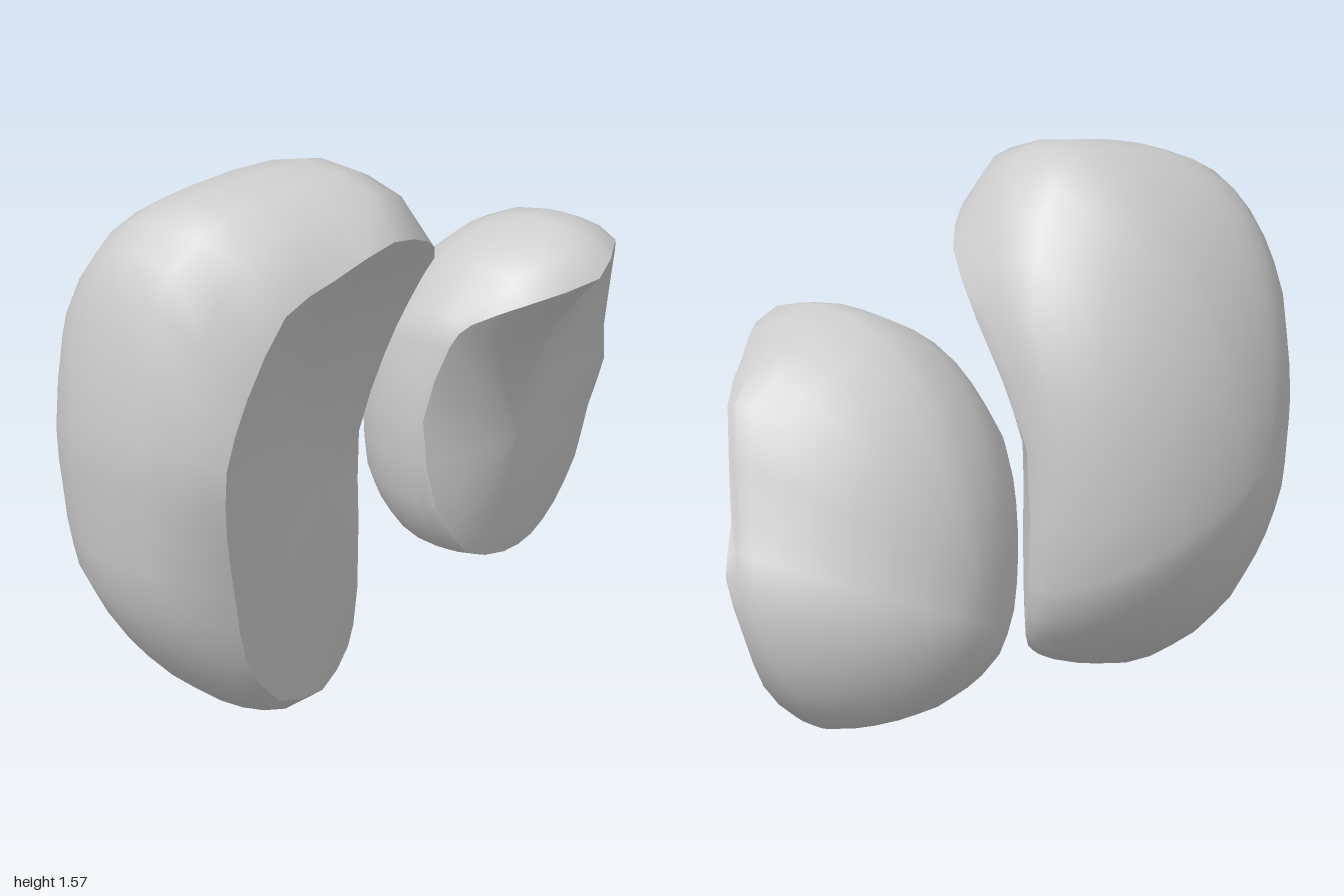
import * as THREE from 'three';
import { mergeVertices } from 'three/addons/utils/BufferGeometryUtils.js';

const material = new THREE.MeshStandardMaterial({ color: 0xcccccc });
const SIDES = 34;

// Skin a list of closed rings into one smooth surface
function loft(rings) {
  const index = [];
  for (let r = 0; r < rings.length - 1; r++) {
    for (let i = 0; i < SIDES; i++) {
      const n = (i + 1) % SIDES;
      const a = r * SIDES + i, b = r * SIDES + n;
      const c = a + SIDES, d = b + SIDES;
      index.push(a, c, b, b, c, d);
    }
  }
  const geo = new THREE.BufferGeometry().setFromPoints(rings.flat());
  geo.setIndex(index);
  const merged = mergeVertices(geo, 1e-4);
  merged.computeVertexNormals();
  return merged;
}

// Closed smooth loop through [x, y, z] stations
function loop(stations) {
  const pts = stations.map(p => new THREE.Vector3(...p));
  const curve = new THREE.CatmullRomCurve3(pts, true, 'catmullrom', 0.4);
  return Array.from({ length: SIDES }, (_, i) => curve.getPoint(i / SIDES));
}

// Interpolate in the xy plane and in z by separate amounts
function blend(from, to, xy, z) {
  return new THREE.Vector3(
    from.x + (to.x - from.x) * xy,
    from.y + (to.y - from.y) * xy,
    from.z + (to.z - from.z) * z
  );
}

// Lobe: domed back, widest outline, lip rolling to the rim, hollowed front
function lobe(name, { outline, rim, pole, centre, wedge }) {
  const wide = loop(outline), edge = loop(rim);
  const back = new THREE.Vector3(...pole), mid = new THREE.Vector3(...centre);

  // The dome flattens towards +x by the wedge power
  const shell = [];
  for (let k = 0; k <= 8; k++) {
    const t = (1 - k / 8) * Math.PI / 2;
    shell.push(wide.map(p => {
      const side = THREE.MathUtils.clamp((p.x - back.x) / 0.4, 0, 1);
      return blend(p, back, 1 - Math.cos(t), Math.sin(t) ** (1 + (wedge - 1) * side));
    }));
  }
  shell.push(wide.map((p, i) => blend(p, edge[i], 0.08, 0.38)));
  shell.push(wide.map((p, i) => blend(p, edge[i], 0.32, 0.74)));
  shell.push(edge);

  // The front curls up to the top rim and falls away at the sides
  const face = [1, 0.85, 0.68, 0.5, 0.3, 0.12, 0].map(s =>
    edge.map(p => blend(mid, p, s, s * s)));

  const group = new THREE.Group();
  group.name = name;
  for (const [part, rings] of [['domedBack', shell], ['hollowFront', face]]) {
    const mesh = new THREE.Mesh(loft(rings), material);
    mesh.name = part;
    group.add(mesh);
  }
  return group;
}

export function createModel() {
  const model = new THREE.Group();
  model.name = 'pairedLobes';

  model.add(lobe('largeLobe', {
    outline: [
      [-0.43, 1.57, 0.12], [-0.3, 1.53, 0.12], [-0.18, 1.4, 0.11], [-0.05, 1.12, 0.03],
      [-0.03, 0.75, -0.1], [-0.03, 0.35, -0.1], [-0.09, 0.17, -0.03], [-0.2, 0.07, 0],
      [-0.43, 0, -0.02], [-0.62, 0.05, -0.03], [-0.8, 0.22, -0.05], [-0.94, 0.45, -0.06],
      [-0.98, 0.7, -0.06], [-1, 0.95, -0.06], [-0.94, 1.3, -0.07], [-0.82, 1.47, -0.03],
      [-0.66, 1.54, 0.05]
    ],
    rim: [
      [-0.46, 1.42, 0.44], [-0.28, 1.37, 0.41], [-0.13, 1.27, 0.32], [-0.05, 1.1, 0.17],
      [-0.04, 0.75, -0.02], [-0.035, 0.35, -0.03], [-0.1, 0.17, 0.03], [-0.2, 0.08, 0.08],
      [-0.4, 0.05, 0.15], [-0.62, 0.12, 0.18], [-0.77, 0.3, 0.2], [-0.82, 0.5, 0.21],
      [-0.87, 0.7, 0.23], [-0.9, 0.9, 0.26], [-0.84, 1.08, 0.28], [-0.75, 1.28, 0.33],
      [-0.62, 1.35, 0.38]
    ],
    pole: [-0.59, 0.65, -0.47], centre: [-0.45, 0.7, 0.2], wedge: 1.3
  }));

  model.add(lobe('smallLobe', {
    outline: [
      [0.52, 1.23, 0.24], [0.7, 1.15, 0.2], [0.86, 1.03, 0.22], [0.94, 0.75, 0.14],
      [0.99, 0.6, 0.09], [0.98, 0.45, 0.04], [0.92, 0.3, 0.01], [0.8, 0.17, 0],
      [0.62, 0.135, 0.01], [0.45, 0.15, 0.02], [0.27, 0.21, 0.04], [0.15, 0.4, 0.06],
      [0.115, 0.67, 0.07], [0.14, 0.9, 0.08], [0.17, 0.98, 0.1], [0.27, 1.12, 0.14],
      [0.4, 1.2, 0.19]
    ],
    rim: [
      [0.56, 1.16, 0.44], [0.72, 1.1, 0.34], [0.865, 1.02, 0.25], [0.945, 0.74, 0.17],
      [1, 0.61, 0.14], [0.98, 0.45, 0.1], [0.915, 0.3, 0.1], [0.8, 0.18, 0.1],
      [0.62, 0.15, 0.14], [0.45, 0.16, 0.16], [0.27, 0.22, 0.15], [0.155, 0.4, 0.12],
      [0.12, 0.67, 0.1], [0.145, 0.9, 0.17], [0.18, 0.97, 0.22], [0.25, 1.04, 0.36],
      [0.44, 1.09, 0.47]
    ],
    pole: [0.52, 0.45, -0.32], centre: [0.43, 0.57, 0.215], wedge: 1.6
  }));

  return model;
}
